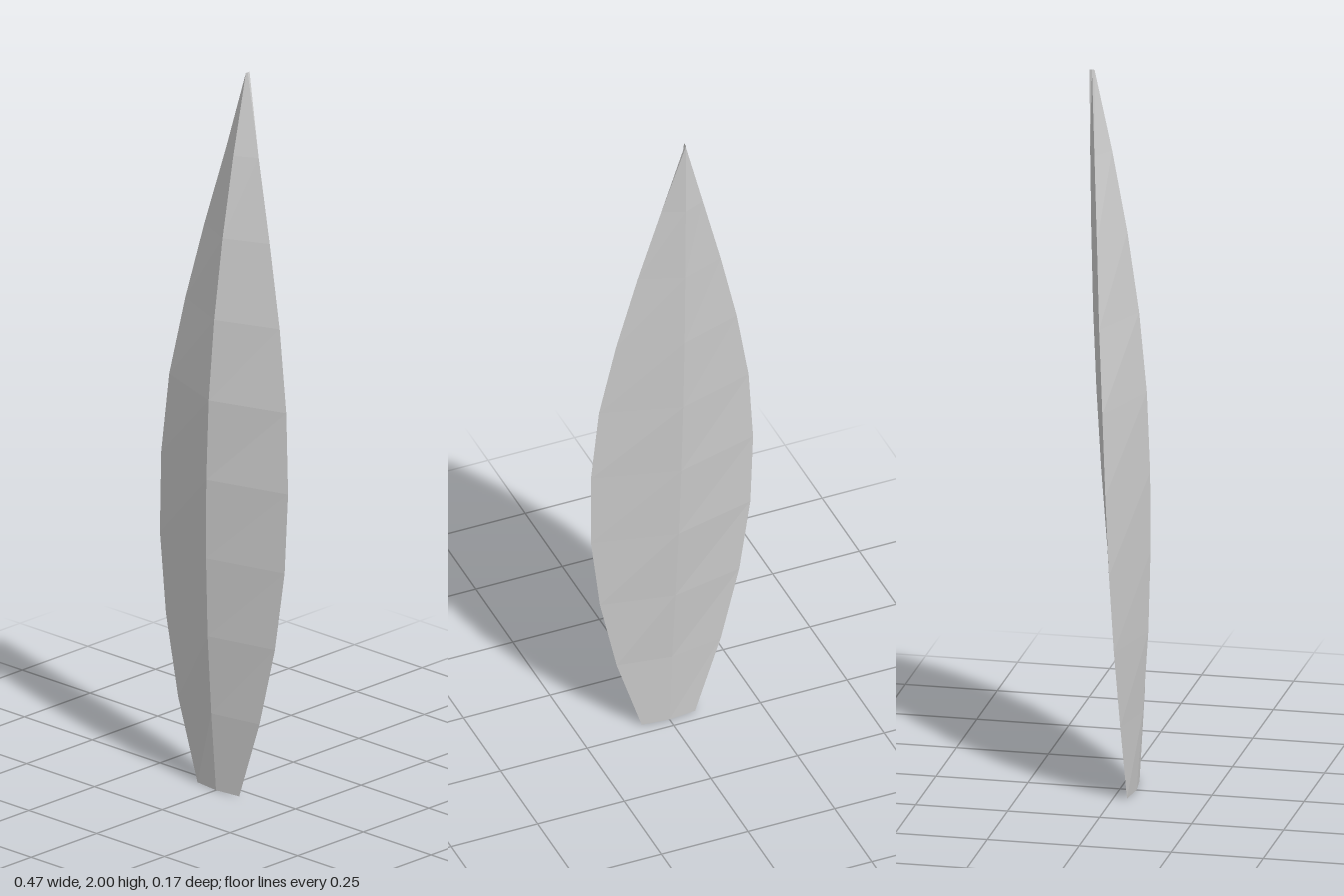
import * as THREE from 'three';

// Evenly spaced cross-sections, bottom to tip: half width, then z of front ridge, side edge and back ridge
const sections = [
  [0.077, 0.045, 0.036, 0.028],
  [0.150, 0.063, 0.034, 0.011],
  [0.201, 0.077, 0.028, -0.012],
  [0.230, 0.083, 0.021, -0.034],
  [0.234, 0.082, 0.012, -0.051],
  [0.216, 0.073, 0.000, -0.064],
  [0.174, 0.052, -0.018, -0.073],
  [0.120, 0.020, -0.036, -0.078],
  [0.060, -0.021, -0.056, -0.081],
  [0.000, -0.069, -0.076, -0.083],
];

// Loft the diamond cross-sections into a curved, pointed blade
function bladeGeometry() {
  const positions = [];
  const index = [];
  const last = sections.length - 1;
  sections.forEach(([w, front, edge, back], i) => {
    const y = (2 * i) / last;
    positions.push(0, y, front, w, y, edge, 0, y, back, -w, y, edge);
  });
  for (let i = 0; i < last; i++) {
    for (let j = 0; j < 4; j++) {
      const a = i * 4 + j;
      const b = i * 4 + ((j + 1) % 4);
      index.push(a, b, b + 4, a, b + 4, a + 4);
    }
  }
  // Closed blunt base
  index.push(0, 2, 1, 0, 3, 2);

  const indexed = new THREE.BufferGeometry();
  indexed.setAttribute('position', new THREE.Float32BufferAttribute(positions, 3));
  indexed.setIndex(index);
  const geometry = indexed.toNonIndexed();
  geometry.computeVertexNormals();
  return geometry;
}

export function createModel() {
  const grey = new THREE.MeshStandardMaterial({ color: 0xcccccc, flatShading: true });
  grey.name = 'light grey';

  const blade = new THREE.Mesh(bladeGeometry(), grey);
  blade.name = 'blade';

  const model = new THREE.Group();
  model.name = 'leafBlade';
  model.add(blade);
  return model;
}
